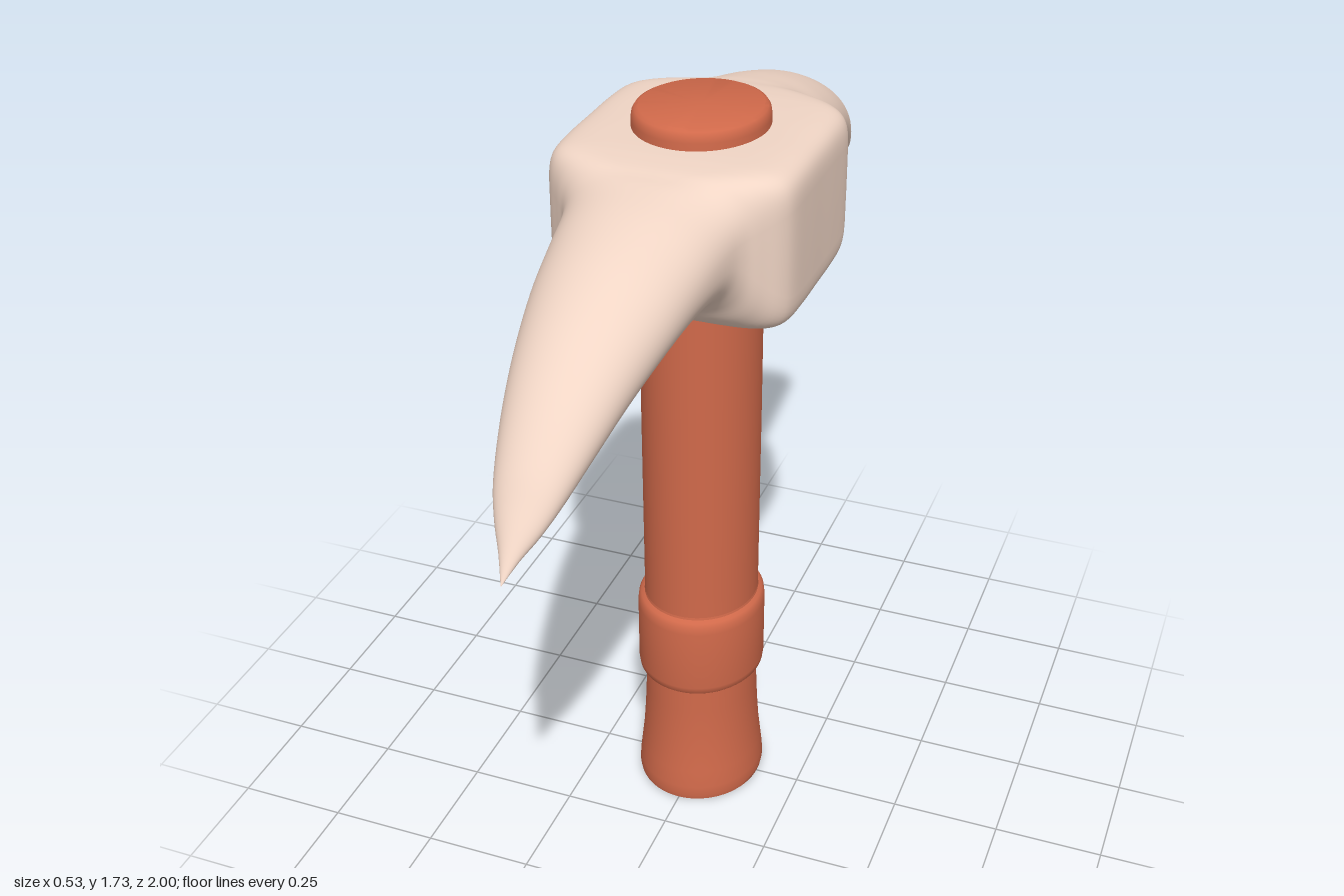
import * as THREE from 'three';
import { toCreasedNormals } from 'three/addons/utils/BufferGeometryUtils.js';

// Half of the head, centre to tip: z, half width, top y, bottom y, squareness
const STATIONS = [
  [0, 0.264, 1.685, 1.335, 8],
  [0.09, 0.264, 1.685, 1.335, 8],
  [0.17, 0.261, 1.684, 1.336, 7.5],
  [0.21, 0.247, 1.682, 1.345, 6.5],
  [0.245, 0.217, 1.679, 1.37, 4.6],
  [0.275, 0.192, 1.674, 1.4, 3.2],
  [0.32, 0.177, 1.667, 1.415, 2.4],
  [0.42, 0.163, 1.645, 1.41, 2.1],
  [0.54, 0.146, 1.605, 1.388, 2],
  [0.67, 0.121, 1.541, 1.35, 2],
  [0.78, 0.096, 1.463, 1.306, 2],
  [0.87, 0.07, 1.378, 1.266, 2],
  [0.92, 0.047, 1.315, 1.241, 2],
  [0.96, 0.022, 1.26, 1.221, 2],
  [1, 0.0005, 1.2, 1.199, 2],
];

// Loft of superellipse sections running from the front tip to the back tip
function headGeometry(rows = 140, sides = 64) {
  const all = [
    ...STATIONS.slice().reverse(),
    ...STATIONS.slice(1).map(([z, ...rest]) => [-z, ...rest]),
  ];
  const curve = (f) => new THREE.CatmullRomCurve3(all.map(f), false, 'catmullrom', 0.5);
  const size = curve((s) => new THREE.Vector3(s[1], s[2], s[3]));
  const place = curve((s) => new THREE.Vector3(s[0], s[4], 0));
  const positions = [];
  const index = [];
  for (let i = 0; i <= rows; i++) {
    const { x: w, y: top, z: bottom } = size.getPoint(i / rows);
    const { x: z, y: n } = place.getPoint(i / rows);
    for (let j = 0; j < sides; j++) {
      const a = (j / sides) * Math.PI * 2;
      const power = (v) => Math.sign(v) * Math.abs(v) ** (2 / n);
      positions.push(
        w * power(Math.cos(a)),
        (top + bottom) / 2 + ((top - bottom) / 2) * power(Math.sin(a)),
        z
      );
      if (i < rows) {
        const p = i * sides + j;
        const q = i * sides + ((j + 1) % sides);
        index.push(p, p + sides, q, q, p + sides, q + sides);
      }
    }
  }
  const g = new THREE.BufferGeometry();
  g.setAttribute('position', new THREE.Float32BufferAttribute(positions, 3));
  g.setIndex(index);
  g.computeVertexNormals();
  return g;
}

// Turned part with a slightly oval section, deeper along z
function turned(profile) {
  const g = new THREE.LatheGeometry(profile.map(([r, y]) => new THREE.Vector2(r, y)), 64);
  g.scale(1, 1, 1.11);
  return toCreasedNormals(g, 0.7);
}

export function createModel() {
  const group = new THREE.Group();
  const wood = new THREE.MeshStandardMaterial({ color: 0xd0694a });
  const metal = new THREE.MeshStandardMaterial({ color: 0xf0d5c5 });
  const add = (name, geometry, material) => {
    const mesh = new THREE.Mesh(geometry, material);
    mesh.name = name;
    group.add(mesh);
  };

  add('pickHead', headGeometry(), metal);

  // Shaft with flared foot
  add('handle', turned([
    [0, 0], [0.141, 0], [0.147, 0.005], [0.149, 0.016], [0.148, 0.04],
    [0.143, 0.085], [0.138, 0.13], [0.134, 0.19], [0.131, 0.26],
    [0.131, 0.6], [0.132, 1.0], [0.132, 1.6], [0, 1.6],
  ]), wood);

  // Grip band
  add('gripCollar', turned([
    [0.125, 0.325], [0.14, 0.325], [0.145, 0.33], [0.147, 0.345],
    [0.147, 0.5], [0.145, 0.518], [0.14, 0.527], [0.132, 0.532], [0.125, 0.57],
  ]), wood);

  // Handle end showing above the head
  add('handleTop', turned([
    [0.142, 1.6], [0.142, 1.7], [0.14, 1.713], [0.135, 1.721], [0.127, 1.725], [0, 1.725],
  ]), wood);

  return group;
}
